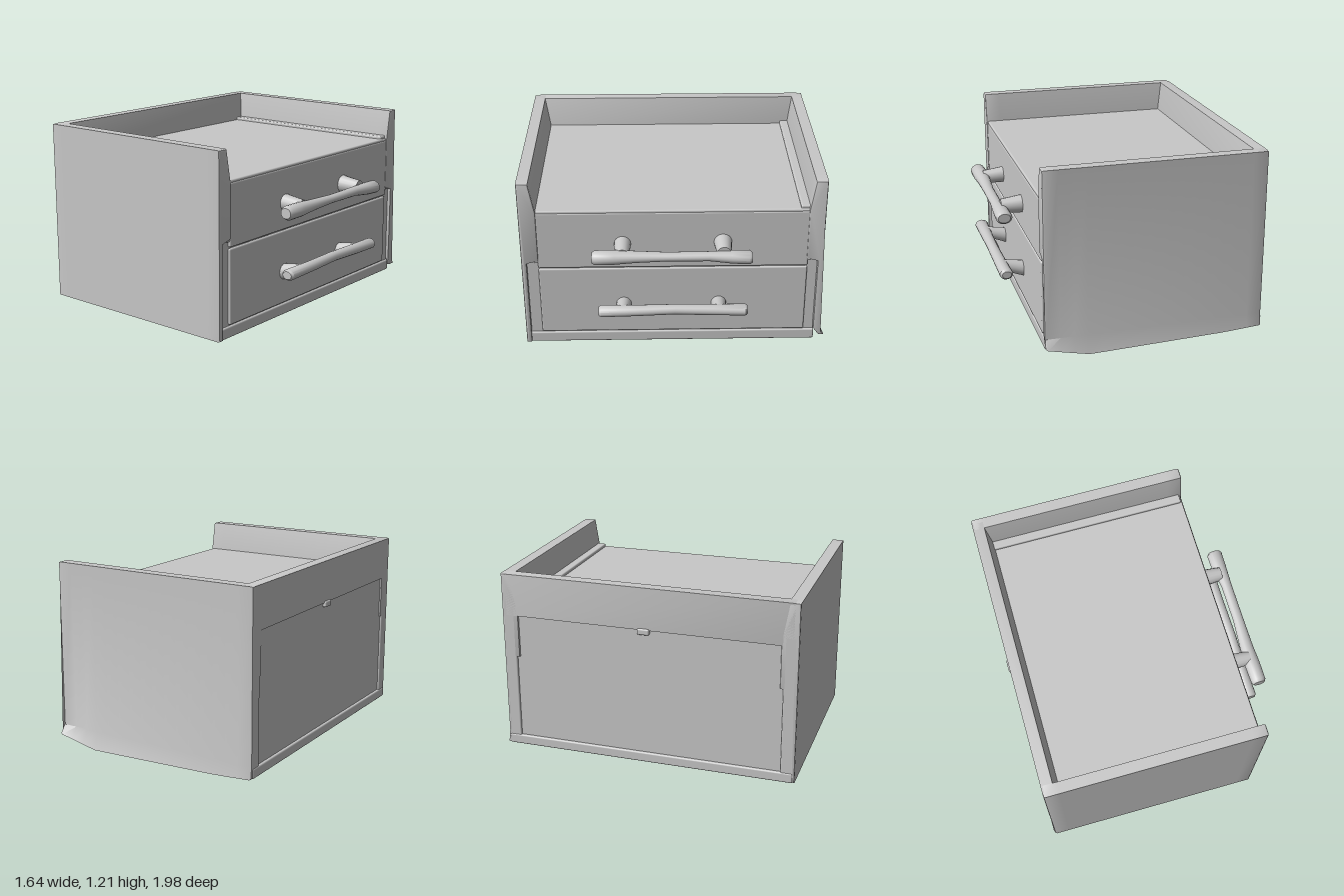
import * as THREE from 'three';
import { toCreasedNormals } from 'three/addons/utils/BufferGeometryUtils.js';
import { RoundedBoxGeometry } from 'three/addons/geometries/RoundedBoxGeometry.js';

const grey = new THREE.MeshStandardMaterial({ color: 0xc8c8c8 });
grey.name = 'plain grey';

function add(parent, name, geometry) {
  const mesh = new THREE.Mesh(geometry, grey);
  mesh.name = name;
  parent.add(mesh);
  return mesh;
}

// Softened box given by its limits on each axis
function block(parent, name, [x0, x1], [y0, y1], [z0, z1], r = 0.01) {
  const g = new RoundedBoxGeometry(x1 - x0, y1 - y0, z1 - z0, 2, r);
  g.translate((x0 + x1) / 2, (y0 + y1) / 2, (z0 + z1) / 2);
  return add(parent, name, g);
}

// Profile extruded with a small rounded edge
function extrude(points, length, steps) {
  const bevel = 0.012;
  const g = new THREE.ExtrudeGeometry(new THREE.Shape(points.map(p => new THREE.Vector2(...p))), {
    depth: length - 2 * bevel, steps, bevelEnabled: true, bevelSegments: 2,
    bevelSize: bevel, bevelThickness: bevel, bevelOffset: -bevel,
  });
  return g.translate(0, 0, bevel);
}

// Linear interpolation through a list of [position, value] pairs
function ramp(pairs, x) {
  for (let i = 1; i < pairs.length; i++) {
    const [a, va] = pairs[i - 1], [b, vb] = pairs[i];
    if (x <= b) return THREE.MathUtils.lerp(va, vb, Math.max(0, (x - a) / (b - a)));
  }
  return pairs[pairs.length - 1][1];
}

// Side wall: thick round rim above the deck, thin skirt below
function sideGeometry(sign, outer, inner) {
  const profile = [
    [outer, 0.035], [outer, 0.12], [outer, 1.215], [outer - 0.075, 1.215],
    [inner, 1.01], [inner, 0.66], [outer - 0.035, 0.64], [outer - 0.035, 0.12], [outer - 0.035, 0.035],
  ].map(([z, y]) => [sign * z, y]);
  const g = extrude(profile, 1.44, 16);
  g.rotateY(-Math.PI / 2).translate(0.63, 0, 0);
  return g;
}

// Uneven foot of the far side wall, flaring outward
function flareFoot(g) {
  const p = g.attributes.position;
  const foot = [[-0.81, 0.035], [-0.55, 0.02], [0.35, 0.002], [0.63, 0.065]];
  for (let i = 0; i < p.count; i++) {
    const x = p.getX(i), y = p.getY(i);
    if (y > 0.09) continue;
    p.setY(i, y - 0.035 + ramp(foot, x));
    p.setZ(i, p.getZ(i) - ramp([[-0.81, 0.01], [0.5, 0.04], [0.63, 0.042]], x));
  }
  return g;
}

// Round bar through sections [x, y, z, radiusX, radiusY], with closed ends
function loft(sections, sides = 16) {
  const pos = [], index = [];
  const first = sections[0], last = sections[sections.length - 1];
  const rings = [[...first.slice(0, 3), 0, 0], ...sections, [...last.slice(0, 3), 0, 0]];
  for (const [x, y, z, rx, ry] of rings) {
    for (let j = 0; j < sides; j++) {
      const a = (j / sides) * Math.PI * 2;
      pos.push(x + Math.cos(a) * rx, y + Math.sin(a) * ry, z);
    }
  }
  for (let i = 0; i < rings.length - 1; i++) {
    for (let j = 0; j < sides; j++) {
      const a = i * sides + j, b = i * sides + (j + 1) % sides;
      index.push(a, b, b + sides, a, b + sides, a + sides);
    }
  }
  const g = new THREE.BufferGeometry();
  g.setAttribute('position', new THREE.Float32BufferAttribute(pos, 3));
  g.setIndex(index);
  return toCreasedNormals(g, 0.7);
}

// Tapered post between two points
function post(parent, from, to, r0, r1) {
  const a = new THREE.Vector3(...from), b = new THREE.Vector3(...to);
  const dir = b.clone().sub(a);
  const mesh = add(parent, 'handlePost', new THREE.CylinderGeometry(r1, r0, dir.length(), 16));
  mesh.position.copy(a).add(b).multiplyScalar(0.5);
  mesh.quaternion.setFromUnitVectors(new THREE.Vector3(0, 1, 0), dir.normalize());
}

export function createModel() {
  const model = new THREE.Group();
  model.name = 'drawerCabinet';

  // Side walls
  add(model, 'nearSideWall', toCreasedNormals(sideGeometry(1, 0.982, 0.87), 0.6));
  add(model, 'farSideWall', toCreasedNormals(flareFoot(sideGeometry(-1, 0.958, 0.85)), 0.6));

  // Back wall: raised rim, recessed panel and bottom rail
  const rim = extrude([[-0.81, 0.94], [-0.81, 1.215], [-0.735, 1.215], [-0.7, 1.01], [-0.7, 0.94]], 1.9, 1);
  add(model, 'backRim', toCreasedNormals(rim.translate(0, 0, -0.94), 0.6));
  block(model, 'backPanel', [-0.797, -0.765], [0.05, 0.97], [-0.93, 0.95]);
  block(model, 'backRail', [-0.815, -0.77], [0.035, 0.1], [-0.95, 0.97]);
  for (const z of [-0.91, 0.93]) block(model, 'backPost', [-0.81, -0.765], [0.04, 1.0], [z - 0.04, z + 0.04]);
  block(model, 'backStud', [-0.822, -0.79], [0.91, 0.95], [-0.04, 0.04]);

  // Deck with a narrow sunken ledge, solid down to the hollow underside
  block(model, 'deck', [-0.76, 0.62], [0.64, 1.02], [-0.88, 0.9]);
  block(model, 'deckLedge', [-0.71, 0.61], [0.98, 1.04], [-0.87, -0.8]);

  // Drawer fronts on a backing board
  block(model, 'frontBacking', [0.57, 0.607], [0.06, 1.0], [-0.93, 0.95]);
  block(model, 'lowerDrawer', [0.58, 0.622], [0.115, 0.598], [-0.86, 0.875]);
  block(model, 'upperDrawer', [0.58, 0.625], [0.608, 1.005], [-0.86, 0.875]);
  block(model, 'frontRail', [0.57, 0.622], [0.035, 0.108], [-0.93, 0.95]);

  // Upper handle: bar with swollen ends
  const upper = new THREE.Group();
  upper.name = 'upperHandle';
  add(upper, 'handleBar', loft([
    [0.77, 0.762, -0.487, 0.04, 0.03], [0.768, 0.762, -0.47, 0.053, 0.043], [0.768, 0.765, -0.36, 0.05, 0.04],
    [0.775, 0.775, -0.22, 0.036, 0.03], [0.775, 0.775, 0.05, 0.036, 0.027], [0.768, 0.772, 0.25, 0.045, 0.036],
    [0.768, 0.77, 0.38, 0.052, 0.045], [0.77, 0.77, 0.5, 0.05, 0.046], [0.77, 0.77, 0.52, 0.038, 0.034],
  ]));
  post(upper, [0.61, 0.79, -0.31], [0.76, 0.785, -0.31], 0.06, 0.045);
  post(upper, [0.61, 0.785, 0.33], [0.76, 0.775, 0.33], 0.055, 0.045);
  model.add(upper);

  // Lower handle: slimmer bar, posts rising outward
  const lower = new THREE.Group();
  lower.name = 'lowerHandle';
  add(lower, 'handleBar', loft([
    [0.762, 0.365, -0.47, 0.03, 0.024], [0.762, 0.365, -0.455, 0.044, 0.036], [0.765, 0.368, -0.25, 0.04, 0.034],
    [0.77, 0.378, 0, 0.036, 0.032], [0.765, 0.368, 0.25, 0.04, 0.034],
    [0.762, 0.365, 0.475, 0.046, 0.036], [0.762, 0.365, 0.49, 0.034, 0.026],
  ]));
  for (const z of [-0.29, 0.33]) post(lower, [0.61, 0.325, z], [0.76, 0.365, z], 0.052, 0.036);
  model.add(lower);

  return model;
}
